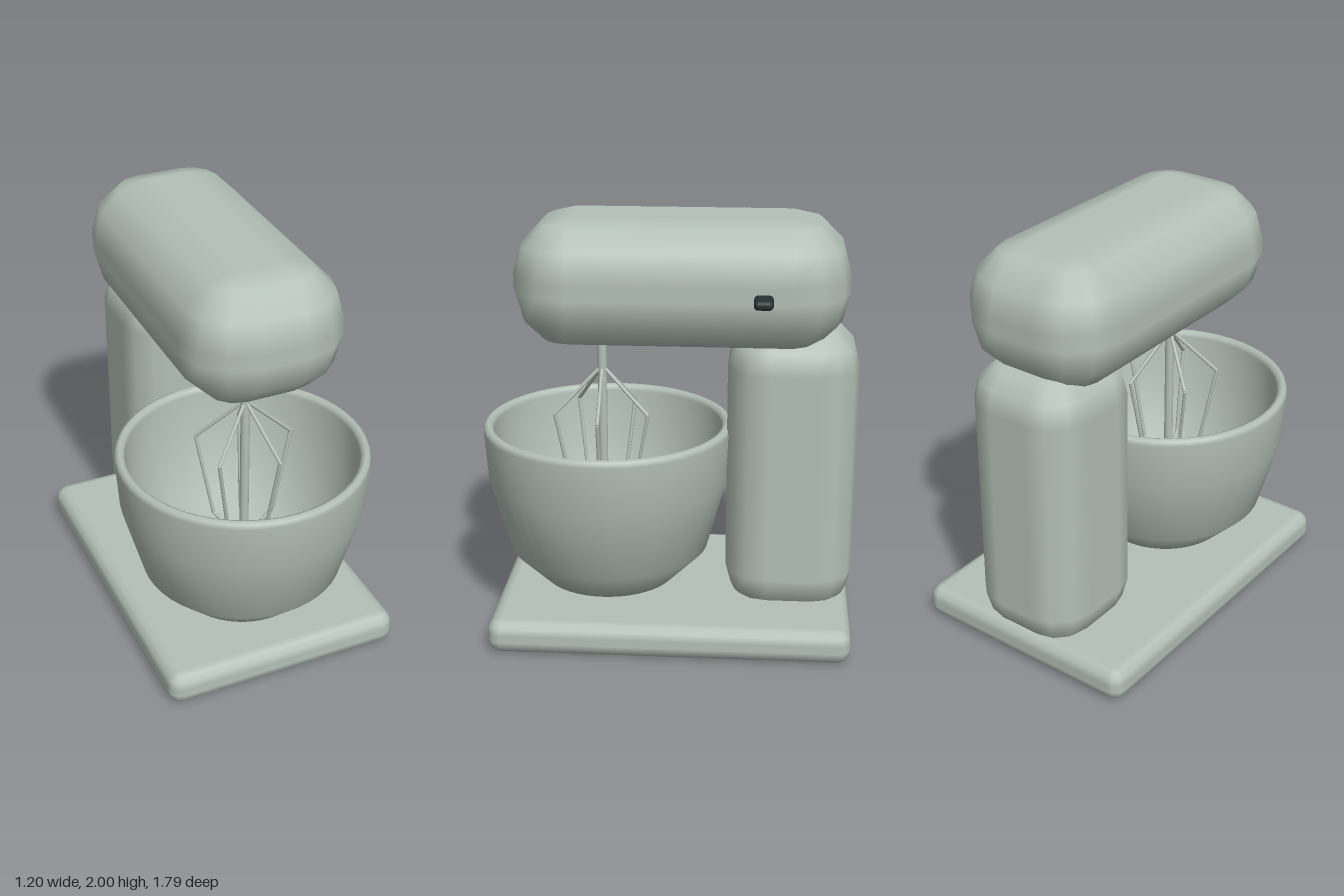
import * as THREE from 'three';

const bodyPaint = new THREE.MeshStandardMaterial({ color: 0xb3c0b7 });
bodyPaint.name = 'sage enamel';
const darkPaint = new THREE.MeshStandardMaterial({ color: 0x263030 });
darkPaint.name = 'dark plastic';

// Box with three-step rounded edges: a grid wrapped round a sphere whose octants are pulled apart
function roundedBox(min, max, r) {
  const half = min.map((v, i) => (max[i] - v) / 2 - r);
  const mid = min.map((v, i) => (max[i] + v) / 2);
  const geo = new THREE.PlaneGeometry(1, 1, 16, 9);
  const pos = geo.attributes.position, nor = geo.attributes.normal;
  const step = Math.PI / 6;
  for (let j = 0; j <= 9; j++) {
    const cap = j === 0 || j === 9;
    const sy = j < 5 ? 1 : -1;
    const lat = cap ? sy * Math.PI / 2 : (j < 5 ? 4 - j : 5 - j) * step;
    for (let i = 0; i <= 16; i++) {
      const q = Math.floor(i / 4) % 4;
      const lon = (q * 3 + (i % 4)) * step;
      const n = [Math.sin(lon) * Math.cos(lat), Math.sin(lat), Math.cos(lon) * Math.cos(lat)];
      const s = [q < 2 ? 1 : -1, sy, q === 0 || q === 3 ? 1 : -1];
      if (cap) s[0] = s[2] = 0;
      const k = j * 17 + i;
      pos.setXYZ(k, ...n.map((v, a) => mid[a] + s[a] * half[a] + v * r));
      nor.setXYZ(k, ...n);
    }
  }
  return geo;
}

// Thin round bar between two points
function bar(a, b, r, sides) {
  const dir = b.clone().sub(a);
  const geo = new THREE.CylinderGeometry(r, r, dir.length(), sides);
  geo.applyQuaternion(new THREE.Quaternion().setFromUnitVectors(
    new THREE.Vector3(0, 1, 0), dir.normalize()));
  const c = a.clone().add(b).multiplyScalar(0.5);
  return geo.translate(c.x, c.y, c.z);
}

export function createModel() {
  const model = new THREE.Group();
  model.name = 'standMixer';
  const add = (name, geo, mat = bodyPaint, parent = model) => {
    const mesh = new THREE.Mesh(geo, mat);
    mesh.name = name;
    parent.add(mesh);
    return mesh;
  };

  // Body
  add('base', roundedBox([-0.585, 0, -0.88], [0.585, 0.165, 0.82], 0.065));
  add('column', roundedBox([-0.295, 0.09, -0.893], [0.295, 1.5, -0.28], 0.2));
  add('head', roundedBox([-0.382, 1.39, -0.838], [0.382, 2, 0.715], 0.27));
  add('speedLever', roundedBox([0.3, 1.663, -0.487], [0.5, 1.707, -0.4], 0.02), darkPaint);

  // Bowl: outer wall, rolled rim, inner wall
  const profile = [
    [0, 0.195], [0.325, 0.195], [0.485, 0.357], [0.583, 0.717], [0.599, 0.955],
    [0.592, 0.977], [0.575, 0.986], [0.556, 0.977], [0.549, 0.955],
    [0.535, 0.725], [0.445, 0.39], [0.305, 0.245], [0, 0.245],
  ].map(([x, y]) => new THREE.Vector2(x, y));
  add('bowl', new THREE.LatheGeometry(profile, 48)).position.z = 0.297;

  // Whisk: central shaft and five bent wires
  const whisk = new THREE.Group();
  whisk.name = 'whisk';
  whisk.position.z = 0.322;
  model.add(whisk);
  add('whiskShaft', new THREE.CylinderGeometry(0.022, 0.022, 1.0, 16).translate(0, 0.95, 0), bodyPaint, whisk);
  const wire = [[0.005, 1.25], [0.235, 1.03], [0.15, 0.6], [0.005, 0.46]]
    .map(([x, y]) => new THREE.Vector3(x, y, 0));
  for (let i = 0; i < 5; i++) {
    const loop = new THREE.Group();
    loop.name = 'whiskWire';
    loop.rotation.y = i * Math.PI * 2 / 5;
    whisk.add(loop);
    for (let k = 0; k < 3; k++) add('wireSegment', bar(wire[k], wire[k + 1], 0.009, 8), bodyPaint, loop);
  }
  return model;
}
